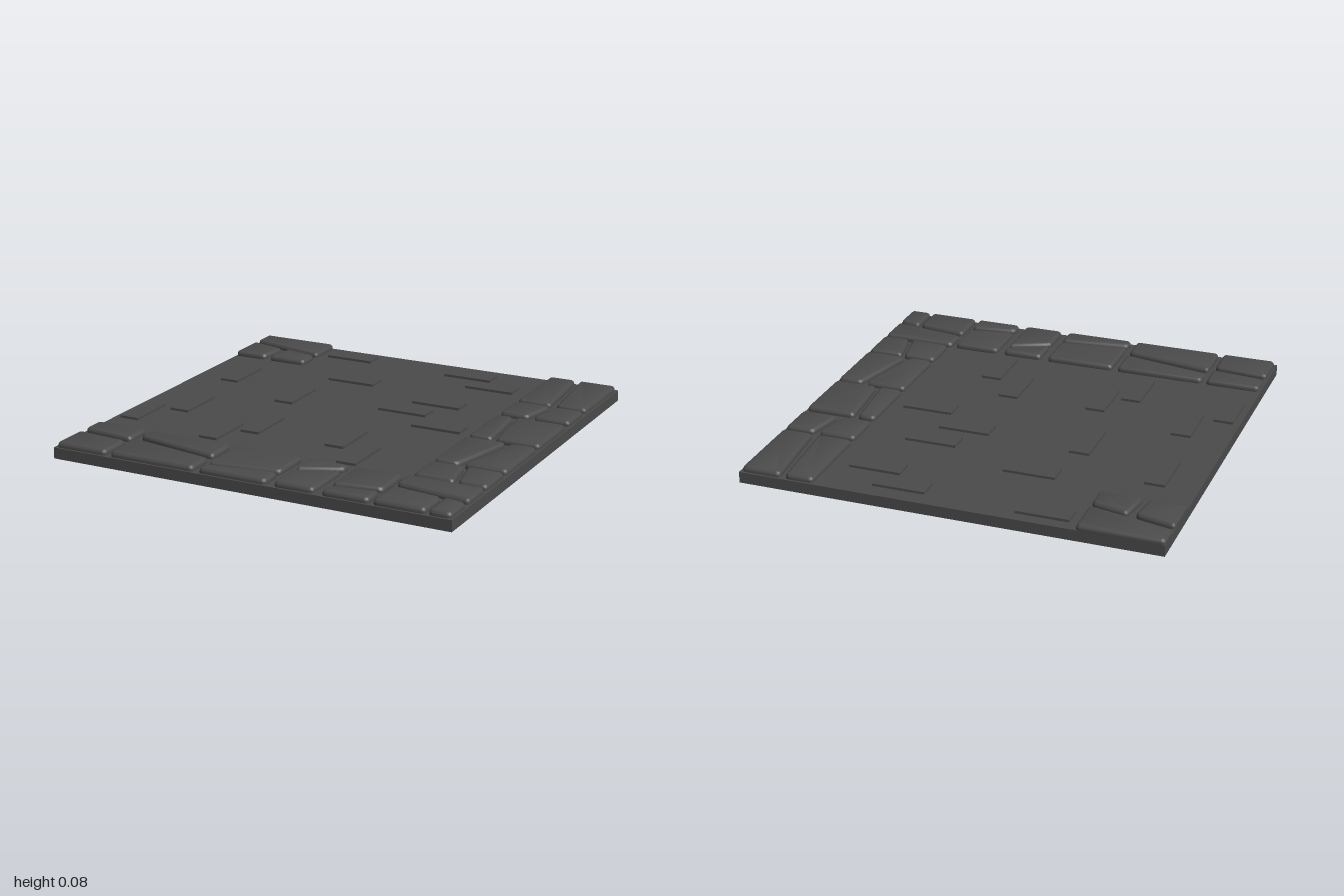
import * as THREE from 'three';
import { toCreasedNormals } from 'three/addons/utils/BufferGeometryUtils.js';

const BASE = 0.053, TOP = 0.08, BRICK_TOP = 0.065;

// Outline through [x, z] corners, with each corner slightly rounded
function roundedOutline(pts, r) {
  const v = pts.map(([x, z]) => new THREE.Vector2(x, -z));
  const shape = new THREE.Shape();
  v.forEach((p, i) => {
    const prev = v[(i + v.length - 1) % v.length], next = v[(i + 1) % v.length];
    const a = p.clone().add(prev.clone().sub(p).setLength(r));
    const b = p.clone().add(next.clone().sub(p).setLength(r));
    if (i === 0) shape.moveTo(a.x, a.y); else shape.lineTo(a.x, a.y);
    shape.quadraticCurveTo(p.x, p.y, b.x, b.y);
  });
  shape.closePath();
  return shape;
}

export function createModel() {
  const group = new THREE.Group();
  const stone = new THREE.MeshStandardMaterial({ color: 0x4b4b4b });
  stone.name = 'dark grey stone';

  function add(geometry, name, x = 0, y = 0, z = 0) {
    const mesh = new THREE.Mesh(geometry, stone);
    mesh.name = name;
    mesh.position.set(x, y, z);
    group.add(mesh);
  }

  // Paving stone with a softened upper rim, sunk into the slab
  function paver(pts, name) {
    const bevel = 0.018;
    const geo = new THREE.ExtrudeGeometry(roundedOutline(pts, 0.022), {
      depth: 0.014, bevelThickness: bevel, bevelSize: bevel, bevelOffset: -bevel,
      bevelSegments: 4, curveSegments: 4,
    });
    geo.rotateX(-Math.PI / 2);
    add(toCreasedNormals(geo, 0.7), name, 0, TOP - 0.014 - bevel, 0);
  }

  // Ground slab
  add(new THREE.BoxGeometry(2, BASE, 2), 'groundSlab', 0, BASE / 2, 0);

  // Right-hand border: z range, then the split's near and far x at each end
  const column = [
    [-0.99, -0.565, 0.775, 0.81, 0.80, 0.84],
    [-0.54, -0.35, 0.82, 0.78, 0.85, 0.81],
    [-0.31, 0.025, 0.725, 0.755, 0.745, 0.775],
    [0.05, 0.405, 0.84, 0.755, 0.87, 0.785],
    [0.425, 0.62, 0.80, 0.835, 0.815, 0.855],
  ];
  for (const [z0, z1, a0, a1, b0, b1] of column) {
    paver([[0.64, z0], [a0, z0], [a1, z1], [0.64, z1]], 'sideBorderStone');
    paver([[b0, z0], [0.99, z0], [0.99, z1], [b1, z1]], 'sideBorderStone');
  }

  // Front border: x range, then the split's back and front z at each end
  const row = [
    [-0.99, -0.725, 0.757, 0.785, 0.80, 0.82],
    [-0.70, -0.265, 0.73, 0.815, 0.775, 0.85],
    [-0.235, 0.105, 0.905, 0.855, 0.925, 0.875],
    [0.145, 0.34, 0.79, 0.70, 0.812, 0.725],
    [0.38, 0.605, 0.89, 0.85, 0.915, 0.88],
  ];
  for (const [x0, x1, a0, a1, b0, b1] of row) {
    paver([[x0, 0.645], [x1, 0.645], [x1, a1], [x0, a0]], 'frontBorderStone');
    paver([[x0, b0], [x1, b1], [x1, 0.99], [x0, 0.99]], 'frontBorderStone');
  }

  // Corner where the two borders meet
  paver([[0.625, 0.638], [0.99, 0.638], [0.99, 0.81], [0.625, 0.757]], 'cornerStone');
  paver([[0.625, 0.79], [0.87, 0.822], [0.87, 0.99], [0.625, 0.99]], 'cornerStone');
  paver([[0.885, 0.82], [0.99, 0.835], [0.99, 0.99], [0.885, 0.99]], 'cornerStone');

  // Patch of stones in the back corner
  paver([[-1, -1], [-0.6, -1], [-0.6, -0.80], [-1, -0.888]], 'backCornerStone');
  paver([[-1, -0.855], [-0.81, -0.812], [-0.83, -0.655], [-1, -0.655]], 'backCornerStone');
  paver([[-0.775, -0.815], [-0.6, -0.775], [-0.6, -0.655], [-0.80, -0.655]], 'backCornerStone');

  // Loose bricks, centred at [x, z], lying across or along the slab
  const across = [[-0.43, -0.895], [0.255, -0.87], [0.43, -0.735], [-0.24, -0.54],
    [0.30, -0.39], [0.20, -0.22], [0.45, -0.065]];
  const along = [[-0.80, -0.365], [-0.385, -0.18], [-0.77, 0.16], [-0.92, 0.37],
    [-0.305, 0.29], [-0.435, 0.45], [0.14, 0.29], [0.295, 0.47]];
  const brick = (w, d) => ([x, z]) =>
    add(new THREE.BoxGeometry(w, 0.03, d), 'brick', x, BRICK_TOP - 0.015, z);
  across.forEach(brick(0.25, 0.097));
  along.forEach(brick(0.097, 0.25));

  return group;
}
